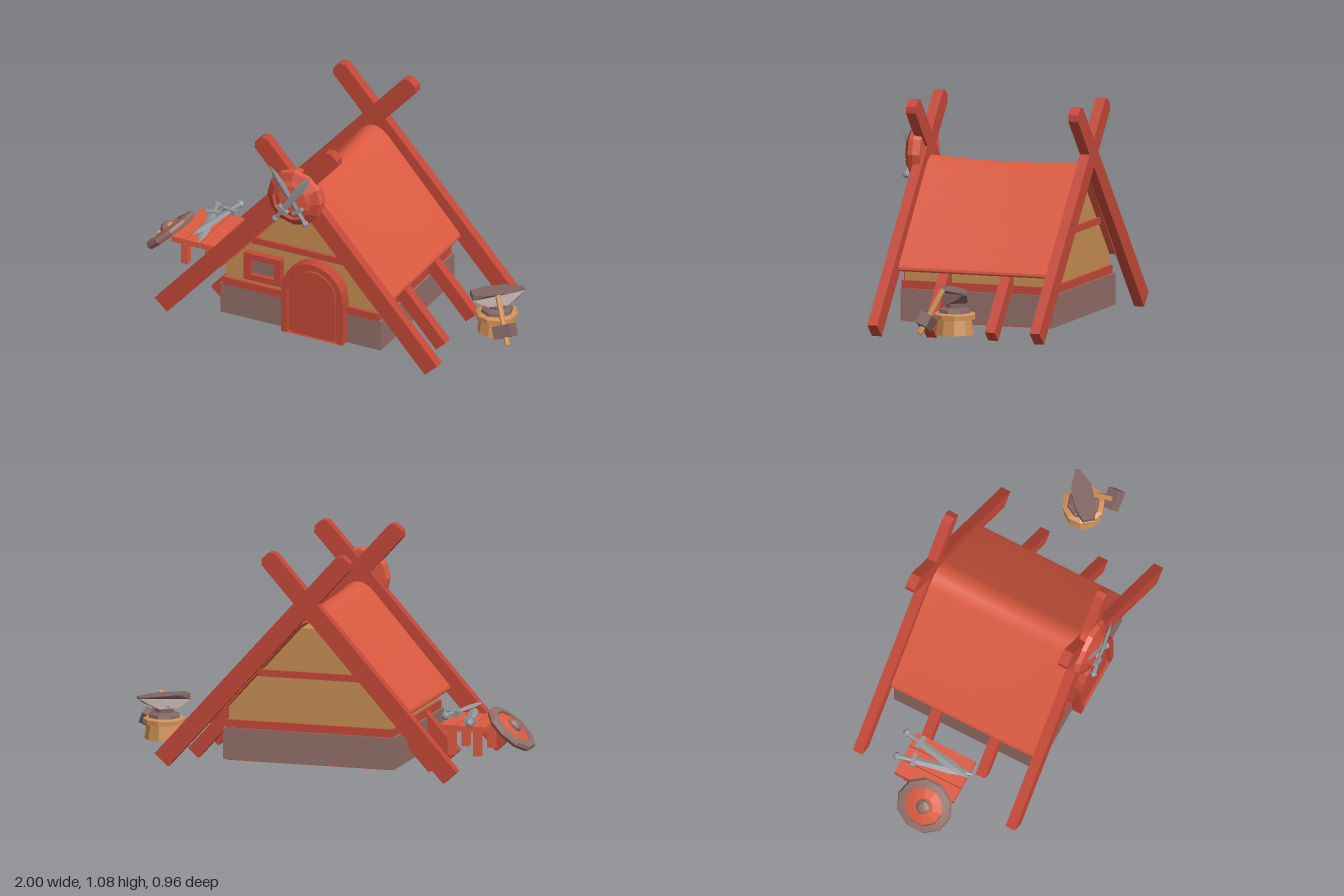
import * as THREE from 'three';
import { toCreasedNormals } from 'three/addons/utils/BufferGeometryUtils.js';

const mat = (name, color) => {
  const m = new THREE.MeshStandardMaterial({ color });
  m.name = name;
  return m;
};
const RED = mat('timber red', 0xc44838);
const ROOF = mat('roof red', 0xdc5a41);
const TAN = mat('plaster tan', 0xc88d54);
const STONE = mat('stone brown', 0x926e68);
const ANVIL = mat('iron brown', 0x826565);
const WOOD = mat('stump wood', 0xcf9056);
const STEEL = mat('steel grey', 0x93979a);

const SLOPE = 0.8375; // pitch of the gable

function add(parent, name, geo, material, x = 0, y = 0, z = 0, crease = 0.15) {
  const m = new THREE.Mesh(toCreasedNormals(geo, crease), material);
  m.name = name;
  m.position.set(x, y, z);
  parent.add(m);
  return m;
}
// box given by its limits
function box(parent, name, material, x0, x1, y0, y1, z0, z1) {
  return add(parent, name, new THREE.BoxGeometry(x1 - x0, y1 - y0, z1 - z0), material,
    (x0 + x1) / 2, (y0 + y1) / 2, (z0 + z1) / 2);
}
const v2 = (pts) => pts.map(([x, y]) => new THREE.Vector2(x, y));
const poly = (pts) => new THREE.Shape(v2(pts));
const extrude = (shape, depth, steps = 1, curveSegments = 8) =>
  new THREE.ExtrudeGeometry(shape, { depth, steps, curveSegments, bevelEnabled: false });
const lathe = (pts, sides) => new THREE.LatheGeometry(v2(pts), sides);

// sloping timber starting at the ground, leaning inward from side s (+1 or -1)
function timber(parent, name, s, x, y, z, length, w, depth, chamfer) {
  const h = w / 2, c = chamfer;
  const geo = extrude(poly([[0, -h], [length - c, -h], [length, -h + c], [length, h - c], [length - c, h], [0, h]]), depth);
  const m = add(parent, name, geo, RED, s * x, y, z);
  m.rotation.z = s > 0 ? Math.PI - SLOPE : SLOPE;
}

// round-topped doorway outline
function arch(r, bottom, spring, PathType = THREE.Shape) {
  const p = new PathType();
  p.moveTo(-r, bottom);
  p.lineTo(r, bottom);
  p.lineTo(r, spring);
  p.absarc(0, spring, r, 0, Math.PI, false);
  p.lineTo(-r, bottom);
  return p;
}

// sword standing on its pommel, 0.4 long, flat in z
function sword(parent) {
  const g = new THREE.Group();
  g.name = 'sword';
  const blade = lathe([[0, 0.1], [0.018, 0.1], [0.019, 0.18], [0.025, 0.28], [0.019, 0.34], [0, 0.4]], 4);
  blade.scale(1, 1, 0.4);
  add(g, 'blade', blade, STEEL);
  add(g, 'guard', new THREE.BoxGeometry(0.07, 0.02, 0.026), STEEL, 0, 0.1, 0);
  add(g, 'grip', new THREE.CylinderGeometry(0.012, 0.012, 0.08, 6), STEEL, 0, 0.06, 0);
  add(g, 'pommel', lathe([[0, -0.002], [0.016, 0.004], [0.021, 0.016], [0.016, 0.028], [0, 0.032]], 7), STEEL);
  parent.add(g);
  return g;
}

function house(root) {
  const g = new THREE.Group();
  g.name = 'house';
  root.add(g);
  box(g, 'foundation', STONE, -0.432, 0.432, 0.05, 0.205, -0.43, 0.35);
  box(g, 'floor', RED, -0.418, 0.418, 0.045, 0.052, -0.416, 0.336);
  box(g, 'sillTrim', RED, -0.42, 0.42, 0.205, 0.243, -0.42, 0.35);
  box(g, 'gableTrim', RED, -0.262, 0.262, 0.465, 0.497, -0.42, 0.35);
  add(g, 'walls', extrude(poly([[-0.41, 0.2], [0.41, 0.2], [0.41, 0.305], [0.045, 0.71], [-0.045, 0.71], [-0.41, 0.305]]), 0.74), TAN, 0, 0, -0.405);

  // roof shell with a rounded ridge, rolled eaves and a slight sag
  const r = new THREE.Shape();
  r.moveTo(0.415, 0.305);
  r.quadraticCurveTo(0.44, 0.285, 0.46, 0.293);
  r.quadraticCurveTo(0.472, 0.302, 0.455, 0.322);
  r.lineTo(0.08, 0.737);
  r.quadraticCurveTo(0, 0.826, -0.08, 0.737);
  r.lineTo(-0.455, 0.322);
  r.quadraticCurveTo(-0.472, 0.302, -0.46, 0.293);
  r.quadraticCurveTo(-0.44, 0.285, -0.415, 0.305);
  r.lineTo(-0.06, 0.697);
  r.quadraticCurveTo(0, 0.764, 0.06, 0.697);
  r.closePath();
  const roof = extrude(r, 0.79, 8);
  roof.translate(0, 0, -0.435);
  const p = roof.attributes.position;
  for (let i = 0; i < p.count; i++) {
    const t = (p.getZ(i) + 0.04) / 0.395;
    p.setY(i, p.getY(i) + 0.015 * t * t * (p.getY(i) - 0.29) / 0.5);
  }
  add(g, 'roof', roof, ROOF, 0, 0, 0, 0.7);

  // crossed gable beams and short side rafters
  for (const s of [-1, 1]) {
    for (const z of [0.35, -0.48]) timber(g, 'gableBeam', s, 0.727, 0.037, z, 1.39, 0.09, 0.05, 0.022);
    for (const z of [0.095, -0.22]) timber(g, 'sideRafter', s, s > 0 ? 0.65 : 0.562, 0.026, z, 0.4, 0.068, 0.05, 0.001);
  }

  // arched door
  const frame = arch(0.165, 0.055, 0.29);
  frame.holes.push(arch(0.135, 0.055, 0.29, THREE.Path));
  add(g, 'doorFrame', extrude(frame, 0.07, 1, 5), RED, 0.085, 0, 0.33);
  const inner = arch(0.135, 0.055, 0.29);
  inner.holes.push(arch(0.115, 0.055, 0.29, THREE.Path));
  add(g, 'doorInnerFrame', extrude(inner, 0.04, 1, 5), RED, 0.085, 0, 0.33);
  add(g, 'door', extrude(arch(0.116, 0.055, 0.29), 0.055, 1, 5), RED, 0.085, 0, 0.33);

  // window
  const rect = (w, h) => [[-w, -h], [w, -h], [w, h], [-w, h]];
  const win = poly(rect(0.1, 0.072));
  win.holes.push(new THREE.Path(v2(rect(0.063, 0.041))));
  add(g, 'windowFrame', extrude(win, 0.045), RED, -0.197, 0.345, 0.325);
  add(g, 'windowPane', new THREE.BoxGeometry(0.128, 0.084, 0.008), STONE, -0.197, 0.345, 0.342);
}

function gableShield(root) {
  const g = new THREE.Group();
  g.name = 'gableShield';
  root.add(g);
  const disc = add(g, 'shieldDisc', lathe([[0, 0], [0.14, 0], [0.148, 0.035], [0.142, 0.06]], 12), ROOF, 0, 0.81, 0.362);
  const rim = add(g, 'shieldRim', lathe([[0.142, 0.06], [0.105, 0.085], [0.1, 0.065]], 12), RED, 0, 0.81, 0.362);
  const face = add(g, 'shieldFace', lathe([[0.1, 0.065], [0.075, 0.078], [0, 0.083]], 12), ROOF, 0, 0.81, 0.362);
  for (const m of [disc, rim, face]) m.rotation.x = Math.PI / 2;
  for (const s of [-1, 1]) {
    const w = sword(g);
    w.scale.setScalar(0.86);
    w.position.set(s * 0.085, 0.692, s > 0 ? 0.452 : 0.466);
    w.rotation.z = s * 0.61;
  }
}

function weaponTable(root) {
  const g = new THREE.Group();
  g.name = 'weaponTable';
  root.add(g);
  for (let i = 0; i < 3; i++) box(g, 'plank', ROOF, -0.822 + i * 0.078, -0.749 + i * 0.078, 0.213, 0.242, -0.22, 0.1);
  box(g, 'crossBar', ROOF, -0.8, -0.61, 0.2, 0.214, -0.08, -0.04);
  for (const x of [-0.77, -0.64]) for (const z of [-0.17, 0.05]) box(g, 'tableLeg', ROOF, x - 0.018, x + 0.018, 0.09, 0.214, z - 0.018, z + 0.018);
  for (const [x, y, z, yaw] of [[-0.755, 0.262, -0.26, 0.24], [-0.63, 0.292, -0.27, -0.17]]) {
    const w = sword(g);
    w.position.set(x, y, z);
    w.rotation.set(Math.PI / 2, yaw, 0, 'YXZ');
  }

  // round shield leaning on the table
  const s = new THREE.Group();
  s.name = 'leaningShield';
  s.position.set(-0.89, 0.2, -0.02);
  s.rotation.z = 0.73;
  g.add(s);
  add(s, 'shieldRim', lathe([[0, -0.018], [0.13, -0.018], [0.143, 0], [0.135, 0.016], [0.1, 0.022], [0.097, 0.012]], 10), STONE);
  add(s, 'shieldFace', lathe([[0.1, 0.01], [0.05, 0.022], [0, 0.024]], 10), ROOF);
  add(s, 'shieldBoss', lathe([[0.04, 0.018], [0.036, 0.035], [0.018, 0.048], [0, 0.05]], 8), STONE);
}

function forge(root) {
  const g = new THREE.Group();
  g.name = 'anvilStand';
  g.position.set(0.84, 0, -0.077);
  root.add(g);
  add(g, 'stump', lathe([[0, 0.06], [0.096, 0.06], [0.082, 0.138]], 10), WOOD);
  add(g, 'stumpBand', lathe([[0, 0.135], [0.103, 0.135], [0.103, 0.158], [0.085, 0.165], [0, 0.165]], 10), WOOD);

  const a = new THREE.Group();
  a.name = 'anvil';
  a.rotation.y = 0.7;
  g.add(a);
  add(a, 'anvilFoot', lathe([[0, 0.164], [0.08, 0.164], [0.076, 0.18], [0.05, 0.19], [0, 0.19]], 8), ANVIL);
  add(a, 'anvilNeck', new THREE.CylinderGeometry(0.048, 0.048, 0.04, 8), ANVIL, 0, 0.202, 0);
  // block tapering to a heel and a pointed horn
  const geo = extrude(poly([[-0.125, 0.245], [-0.055, 0.212], [0.045, 0.212], [0.1, 0.235], [0.138, 0.264], [0.138, 0.274], [0.05, 0.274], [-0.055, 0.274], [-0.125, 0.274]]), 0.1);
  geo.translate(0, 0, -0.05);
  const p = geo.attributes.position;
  for (let i = 0; i < p.count; i++) {
    const l = p.getX(i);
    const k = l > 0.05 ? 1 - (l - 0.05) * 9 : l < -0.055 ? 1 + (l + 0.055) * 6 : 1;
    p.setZ(i, p.getZ(i) * k);
  }
  add(a, 'anvilBlock', geo, ANVIL);

  // hammer leaning on the stump
  const h = new THREE.Group();
  h.name = 'hammer';
  const from = new THREE.Vector3(0.965, 0.07, 0.058), to = new THREE.Vector3(0.87, 0.277, -0.028);
  const dir = to.clone().sub(from), len = dir.length();
  h.position.copy(from);
  h.quaternion.setFromUnitVectors(new THREE.Vector3(0, 1, 0), dir.normalize());
  add(h, 'hammerHandle', new THREE.CylinderGeometry(0.014, 0.014, len, 7), WOOD, 0, len / 2, 0);
  add(h, 'hammerHead', new THREE.BoxGeometry(0.1, 0.062, 0.062), ANVIL, 0, 0.068, 0);
  root.add(h);
}

export function createModel() {
  const root = new THREE.Group();
  root.name = 'smithyHut';
  house(root);
  gableShield(root);
  weaponTable(root);
  forge(root);
  return root;
}
